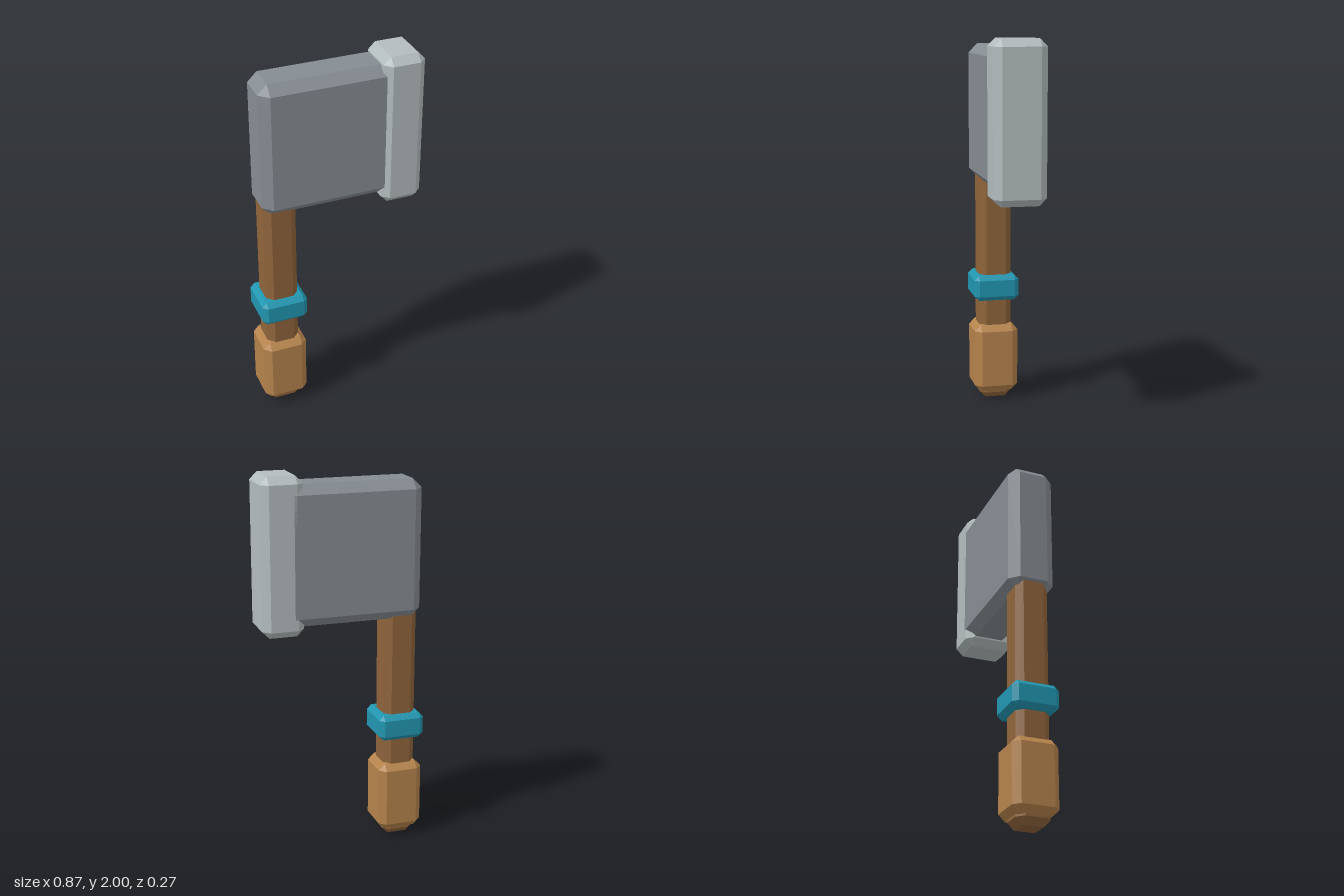
import * as THREE from 'three';
import { ConvexGeometry } from 'three/addons/geometries/ConvexGeometry.js';

// Box between two corners with every edge cut at 45 degrees
function bevelledBox(name, color, [x0, y0, z0], [x1, y1, z1], bevel) {
  const half = [(x1 - x0) / 2, (y1 - y0) / 2, (z1 - z0) / 2];
  const points = [];
  for (const sx of [-1, 1]) for (const sy of [-1, 1]) for (const sz of [-1, 1]) {
    const sign = [sx, sy, sz];
    // each corner becomes three points, one on each neighbouring face
    for (let face = 0; face < 3; face++) {
      points.push(new THREE.Vector3(...half.map((h, i) => sign[i] * (i === face ? h : h - bevel))));
    }
  }
  const mesh = new THREE.Mesh(
    new ConvexGeometry(points),
    new THREE.MeshStandardMaterial({ color, flatShading: true })
  );
  mesh.name = name;
  mesh.position.set((x0 + x1) / 2, (y0 + y1) / 2, (z0 + z1) / 2);
  return mesh;
}

export function createModel() {
  const model = new THREE.Group();
  model.name = 'hammer';
  model.add(
    // wooden shaft, running up into the head
    bevelledBox('shaft', 0x8f643b, [-0.402, 0, -0.099], [-0.228, 1.4, 0.077], 0.034),
    // thicker grip at the foot of the shaft
    bevelledBox('grip', 0xb5834c, [-0.435, 0.045, -0.131], [-0.195, 0.425, 0.109], 0.035),
    // coloured ring above the grip
    bevelledBox('band', 0x2196b0, [-0.438, 0.565, -0.134], [-0.19, 0.705, 0.112], 0.025),
    // heavy block of the head
    bevelledBox('head', 0x858c92, [-0.413, 1.232, -0.135], [0.32, 1.955, 0.112], 0.049),
    // striking plate on the end of the head
    bevelledBox('strikingPlate', 0xb3bcbd, [0.217, 1.186, -0.135], [0.436, 2, 0.134], 0.038)
  );
  return model;
}
